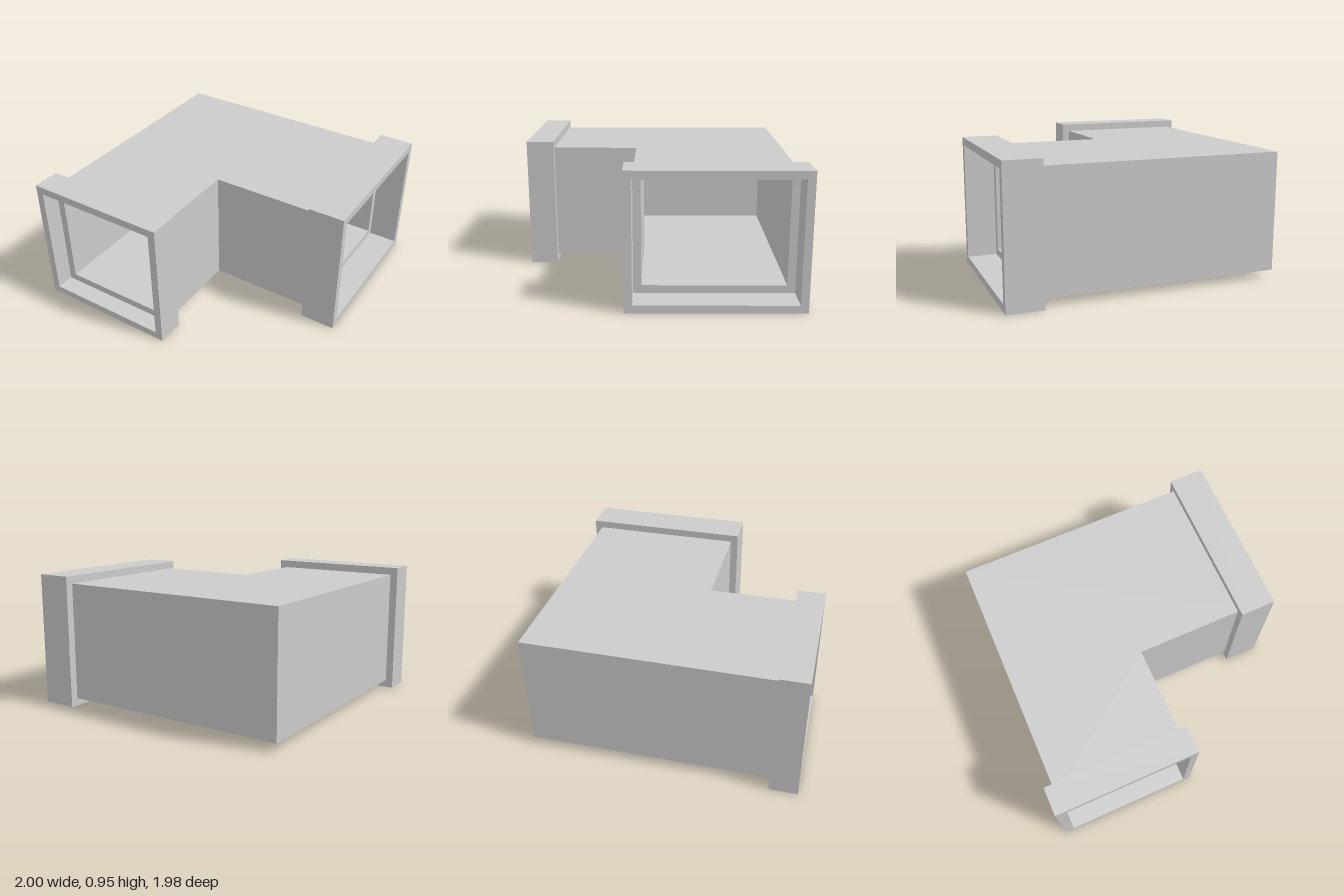
import * as THREE from 'three';

const material = new THREE.MeshStandardMaterial({ color: 0xcccccc, flatShading: true });
const WALL = 0.055;

// Hollow L-shaped duct: a rectangular ring swept through one mitred corner
function ductGeometry() {
  const xs = [-0.945, -0.945 + WALL, -0.02 - WALL, -0.02];
  const zs = [-0.935, -0.935 + WALL, 0.165 - WALL, 0.165];
  const endZ = 0.855, endX = 0.785, bottom = 0.055, top = 0.9;
  const stations = [
    (k, y) => [xs[k], y, endZ],
    (k, y) => [xs[k], y, zs[k]],
    (k, y) => [endX, y, zs[k]],
  ];
  const loop = (at, k0, k1, y0, y1) => [at(k0, y0), at(k1, y0), at(k1, y1), at(k0, y1)];
  const outer = stations.map((s) => loop(s, 0, 3, bottom, top));
  const inner = stations.map((s) => loop(s, 1, 2, bottom + WALL, top - WALL));

  const positions = [];
  const quad = (a, b, c, d) => positions.push(...a, ...b, ...c, ...a, ...c, ...d);
  for (let i = 0; i < 4; i++) {
    const j = (i + 1) % 4;
    for (let s = 0; s < 2; s++) {
      quad(outer[s][j], outer[s][i], outer[s + 1][i], outer[s + 1][j]);
      quad(inner[s][i], inner[s][j], inner[s + 1][j], inner[s + 1][i]);
    }
    // rims at the two open ends
    quad(outer[0][i], outer[0][j], inner[0][j], inner[0][i]);
    quad(outer[2][j], outer[2][i], inner[2][i], inner[2][j]);
  }
  const geometry = new THREE.BufferGeometry();
  geometry.setAttribute('position', new THREE.Float32BufferAttribute(positions, 3));
  geometry.computeVertexNormals();
  return geometry;
}

// Rectangular collar, open through its depth
function collarGeometry(left, right, depth) {
  const rect = (Type, l, r, b, t) => {
    const path = new Type();
    path.moveTo(l, b);
    path.lineTo(r, b);
    path.lineTo(r, t);
    path.lineTo(l, t);
    path.closePath();
    return path;
  };
  const shape = rect(THREE.Shape, left, right, 0, 0.955);
  shape.holes.push(rect(THREE.Path, left + WALL, right - WALL, 0.055, 0.9));
  return new THREE.ExtrudeGeometry(shape, { depth, bevelEnabled: false });
}

export function createModel() {
  const group = new THREE.Group();
  group.name = 'ductElbow';
  const add = (name, geometry) => {
    const mesh = new THREE.Mesh(geometry, material);
    mesh.name = name;
    group.add(mesh);
    return mesh;
  };

  add('elbowDuct', ductGeometry());

  // Collar on the front opening
  add('frontCollar', collarGeometry(-1, 0.035, 0.2)).position.z = 0.785;

  // Collar on the side opening, turned to face +x
  const side = add('sideCollar', collarGeometry(-0.22, 0.99, 0.255));
  side.rotation.y = Math.PI / 2;
  side.position.x = 0.745;

  return group;
}
